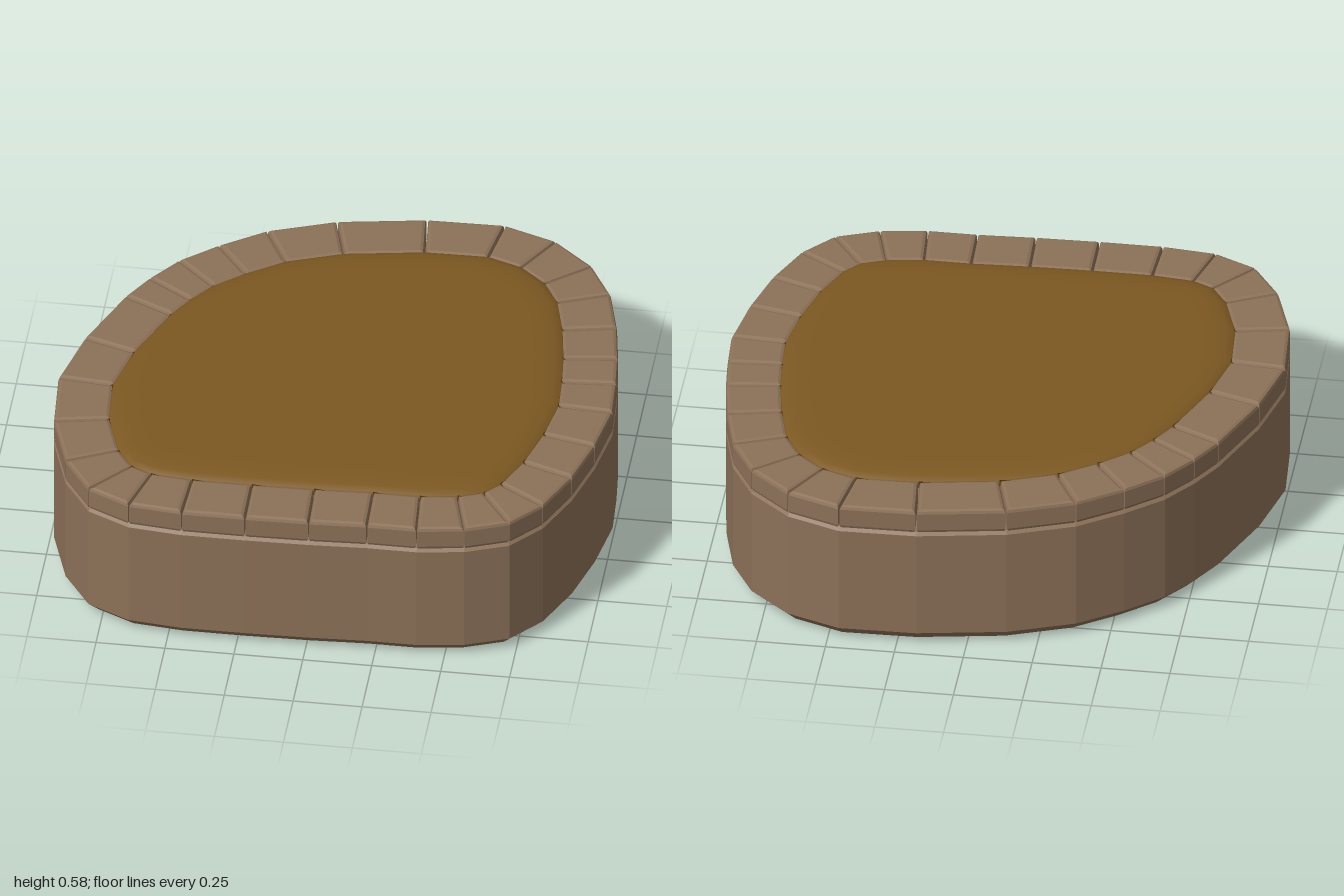
import * as THREE from 'three';
import { mergeVertices } from 'three/addons/utils/BufferGeometryUtils.js';

// Plan outline as [x, z], clockwise seen from above
const outline = [
  [-1, 0.19], [-0.94, -0.06], [-0.83, -0.33], [-0.76, -0.45], [-0.67, -0.57], [-0.54, -0.68],
  [-0.38, -0.79], [-0.14, -0.88], [0.18, -0.935], [0.46, -0.94], [0.655, -0.87], [0.805, -0.74],
  [0.895, -0.58], [0.945, -0.385], [0.975, -0.2], [0.99, -0.05], [1, 0.12], [0.965, 0.33],
  [0.91, 0.53], [0.83, 0.71], [0.725, 0.83], [0.57, 0.89], [0.4, 0.915], [0.22, 0.915],
  [0.01, 0.925], [-0.22, 0.93], [-0.45, 0.93], [-0.645, 0.91], [-0.8, 0.835], [-0.905, 0.68], [-0.98, 0.45],
].map(([x, z]) => new THREE.Vector2(x, z));
const count = outline.length;

// Outline moved inwards by a distance, with mitred corners
function inset(d) {
  const inward = (a, b) => new THREE.Vector2(a.y - b.y, b.x - a.x).normalize();
  return outline.map((p, i) => {
    const n1 = inward(outline[(i + count - 1) % count], p);
    const n2 = inward(p, outline[(i + 1) % count]);
    const m = n1.clone().add(n2).normalize();
    return p.clone().addScaledVector(m, d / m.dot(n1));
  });
}

// Closed solid through [inset, y] levels, listed from bottom to top
function loft(levels, smooth) {
  const rings = levels.map(([d, y]) => inset(d).map((p) => [p.x, y, p.y]));
  const pos = [];
  const tri = (a, b, c) => pos.push(...a, ...b, ...c);
  const last = rings.length - 1;
  for (let i = 0; i < count; i++) {
    const j = (i + 1) % count;
    for (let k = 0; k < last; k++) {
      tri(rings[k][i], rings[k + 1][i], rings[k + 1][j]);
      tri(rings[k][i], rings[k + 1][j], rings[k][j]);
    }
    tri([0, levels[0][1], 0], rings[0][i], rings[0][j]);
    tri([0, levels[last][1], 0], rings[last][j], rings[last][i]);
  }
  let geometry = new THREE.BufferGeometry();
  geometry.setAttribute('position', new THREE.Float32BufferAttribute(pos, 3));
  if (smooth) geometry = mergeVertices(geometry);
  geometry.computeVertexNormals();
  return geometry;
}

// One bevelled rim block from its four plan corners
function blockGeometry(corners, y0, y1) {
  const bevel = 0.014;
  const shape = new THREE.Shape(corners.map((p) => new THREE.Vector2(p.x, -p.y)));
  return new THREE.ExtrudeGeometry(shape, {
    depth: y1 - y0 - 2 * bevel, bevelSize: bevel, bevelThickness: bevel,
    bevelOffset: -bevel, bevelSegments: 2,
  }).rotateX(-Math.PI / 2).translate(0, y0 + bevel, 0);
}

export function createModel() {
  const stone = new THREE.MeshStandardMaterial({ color: 0x8c7158 });
  stone.name = 'stone';
  const soil = new THREE.MeshStandardMaterial({ color: 0x7c5822 });
  soil.name = 'soil';

  const model = new THREE.Group();
  model.name = 'raisedBed';
  const add = (name, geometry, material, parent = model) => {
    const mesh = new THREE.Mesh(geometry, material);
    mesh.name = name;
    parent.add(mesh);
  };

  // Wall with a chamfered foot and a slim bevel under the rim
  add('wall', loft([[0.045, 0], [0, 0.045], [0, 0.46], [0.012, 0.473]], false), stone);

  // Rim of separate blocks, one along each side of the outline
  const rim = new THREE.Group();
  rim.name = 'rim';
  model.add(rim);
  const inner = inset(0.2);
  const gap = 0.01;
  for (let i = 0; i < count; i++) {
    const j = (i + 1) % count;
    const corners = [
      outline[i].clone().lerp(outline[j], gap), outline[j].clone().lerp(outline[i], gap),
      inner[j].clone().lerp(inner[i], gap), inner[i].clone().lerp(inner[j], gap),
    ];
    add('rimBlock', blockGeometry(corners, 0.471, 0.566), stone, rim);
  }

  // Gently domed fill inside the rim
  add('soilFill', loft([[0.18, 0.55], [0.2, 0.565], [0.225, 0.574], [0.27, 0.58], [0.34, 0.582]], true), soil);
  return model;
}
